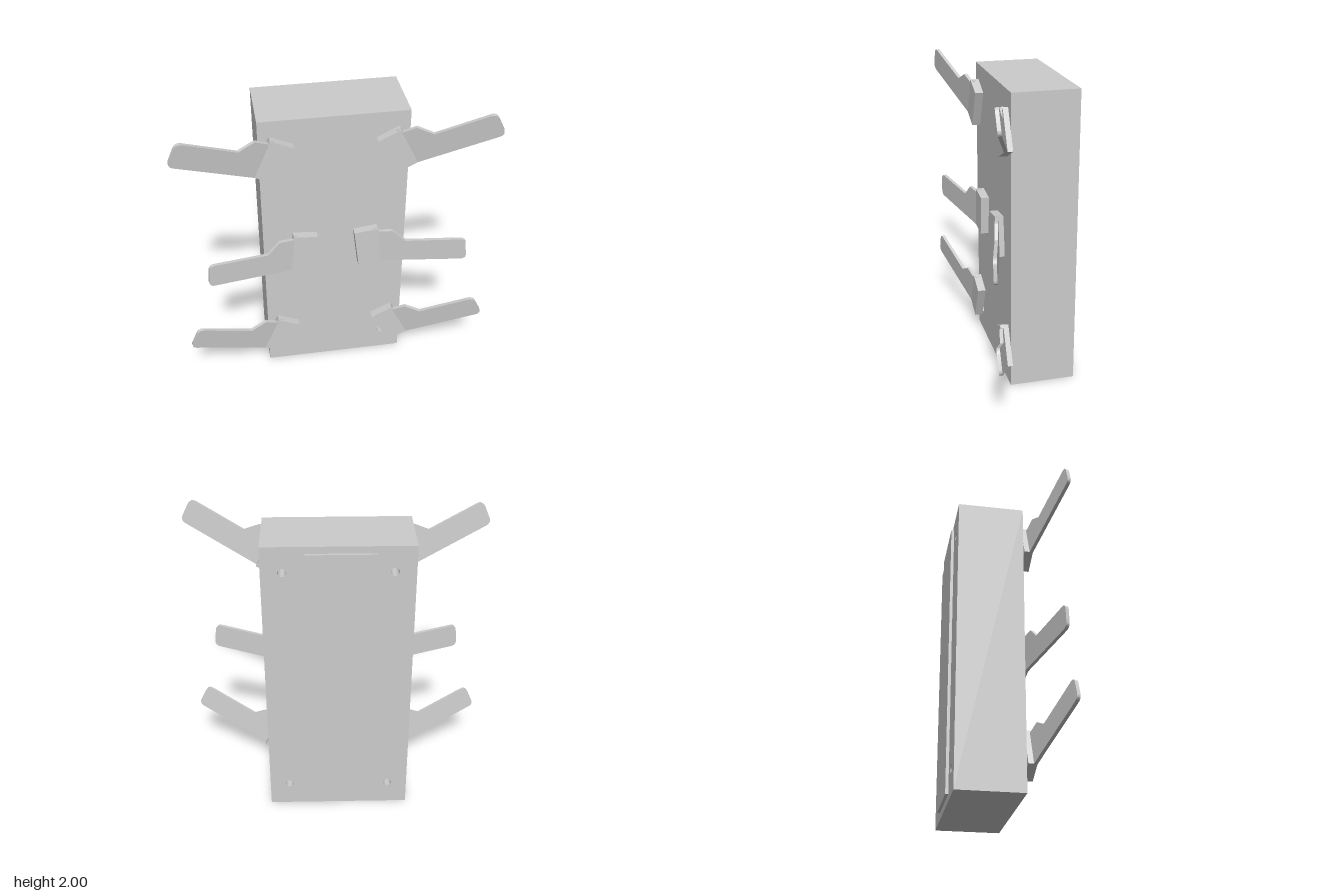
import * as THREE from 'three';
import { toCreasedNormals } from 'three/addons/utils/BufferGeometryUtils.js';

const grey = new THREE.MeshStandardMaterial({ color: 0xcccccc });
const deg = THREE.MathUtils.degToRad;

function add(parent, name, geometry, x = 0, y = 0, z = 0) {
  const mesh = new THREE.Mesh(geometry, grey);
  mesh.name = name;
  mesh.position.set(x, y, z);
  parent.add(mesh);
  return mesh;
}

function extrude(shape, depth) {
  const geometry = new THREE.ExtrudeGeometry(shape, { depth, bevelEnabled: false, curveSegments: 20 });
  return toCreasedNormals(geometry, deg(35));
}

// Block with four through holes near its corners
function bodyGeometry() {
  const shape = new THREE.Shape();
  shape.moveTo(-0.465, 0).lineTo(0.468, 0).lineTo(0.468, 1.96).lineTo(-0.465, 1.96).closePath();
  for (const x of [-0.335, 0.338]) {
    for (const y of [0.168, 1.792]) {
      shape.holes.push(new THREE.Path().absarc(x, y, 0.026, 0, Math.PI * 2, true));
    }
  }
  return extrude(shape, 0.43);
}

// Lever outline, starting at the hinge; side is +1 (left) or -1 (right)
function leverGeometry(side) {
  const L = 0.567, r = 0.04, s = new THREE.Shape();
  s.moveTo(0, 0);
  s.lineTo(side * (L - r), 0);
  s.quadraticCurveTo(side * L, 0, side * L, r);
  s.lineTo(side * L, 0.163 - r);
  s.quadraticCurveTo(side * L, 0.163, side * (L - r), 0.163);
  s.lineTo(side * 0.176, 0.163);
  s.lineTo(side * 0.1, 0.248);
  s.lineTo(0, 0.248);
  s.closePath();
  return extrude(s, 0.022);
}

// Hinge block, pin and angled lever, with its origin at the inner bottom corner
function makeClip(side, x, y, angle, tilt) {
  const clip = new THREE.Group();
  clip.name = side > 0 ? 'leftClip' : 'rightClip';
  const w = 0.157, h = 0.268;
  add(clip, 'hingeBlock', new THREE.BoxGeometry(w, h, 0.055), side * w / 2, h / 2, 0.0275);
  add(clip, 'hingePin', new THREE.CylinderGeometry(0.012, 0.012, h + 0.004, 16), side * (w - 0.015), h / 2 + 0.002, 0.034);
  const lever = add(clip, 'lever', leverGeometry(side), side * (w - 0.003), 0, 0.033);
  lever.rotation.y = -side * deg(tilt);
  clip.position.set(side * x, y, 0.12);
  clip.rotation.z = side * deg(angle);
  return clip;
}

export function createModel() {
  const model = new THREE.Group();
  model.name = 'clipBlock';

  add(model, 'body', bodyGeometry(), 0, 0, -0.31);
  add(model, 'backPlate', new THREE.BoxGeometry(0.425, 1.87, 0.02), -0.0115, 0.98, -0.319);

  // Top and bottom pairs are steeply raised, the middle pair nearly level
  for (const y of [0.105, 1.55]) {
    model.add(makeClip(1, 0.38, y, 26.6, 16));
    model.add(makeClip(-1, 0.36, y, 23.6, 14.3));
  }
  model.add(makeClip(1, 0.155, 0.84, 6.7, 15));
  model.add(makeClip(-1, 0.14, 0.842, 5, 14));
  return model;
}
